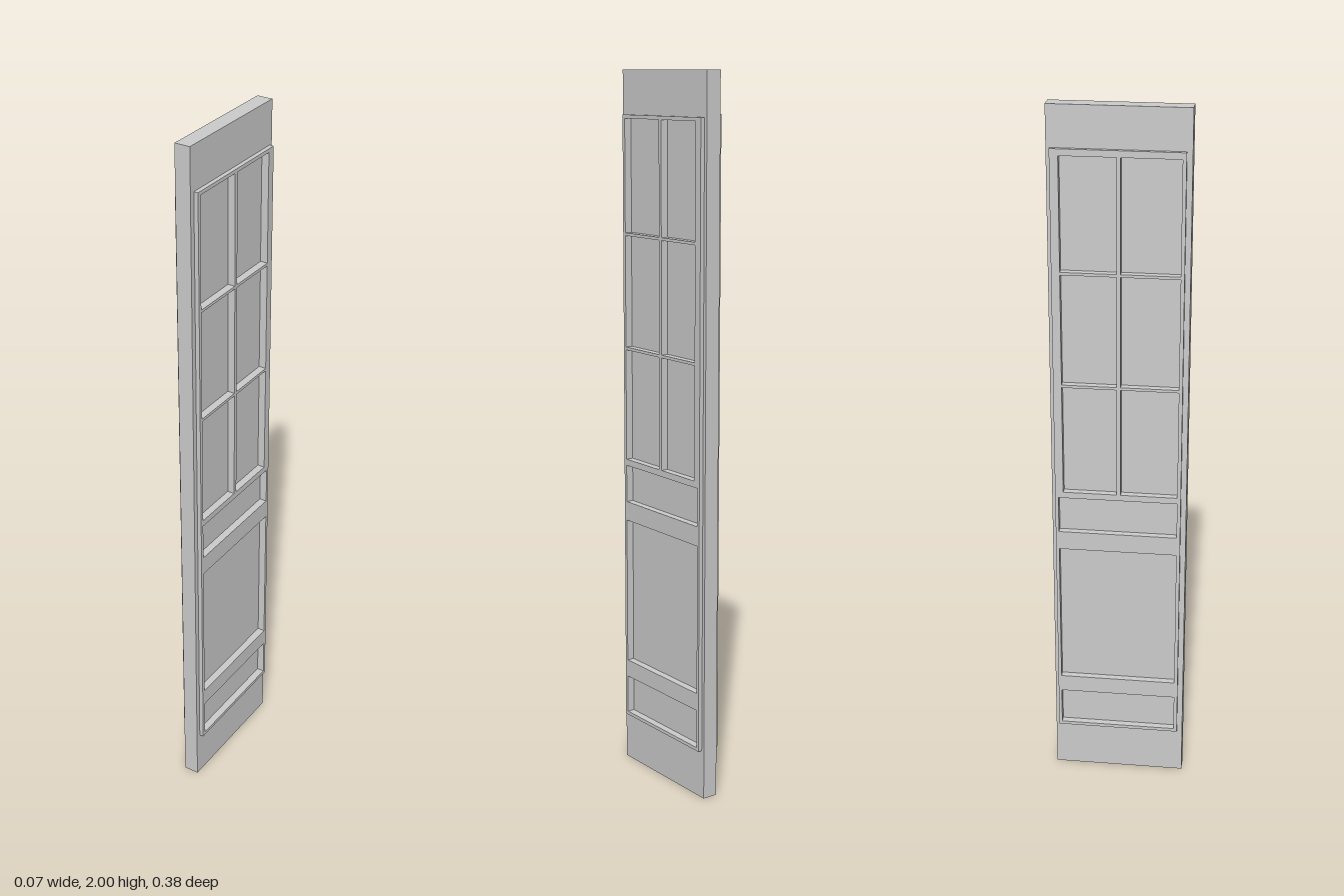
import * as THREE from 'three';

const material = new THREE.MeshStandardMaterial({ color: 0xcccccc, flatShading: true });

// Openings as [z0, z1, y0, y1]
const panes = [];
for (const [y0, y1] of [[0.915, 1.235 - 0.004], [1.239, 1.551], [1.559, 1.87]])
  for (const [z0, z1] of [[-0.157, -0.007], [0.004, 0.162]]) panes.push([z0, z1, y0, y1]);
const panels = [[0.15, 0.26], [0.31, 0.735], [0.79, 0.897]].map(([y0, y1]) => [-0.171, 0.162, y0, y1]);
const openings = [...panes, ...panels];

function trace(path, [z0, z1, y0, y1]) {
  path.moveTo(z0, y0);
  path.lineTo(z1, y0);
  path.lineTo(z1, y1);
  path.lineTo(z0, y1);
  path.closePath();
  return path;
}

// Plate in the z-y plane, between x0 and x1, pierced by the openings
function piercedPlate(name, outline, x0, x1) {
  const shape = trace(new THREE.Shape(), outline);
  shape.holes = openings.map((o) => trace(new THREE.Path(), o));
  const geometry = new THREE.ExtrudeGeometry(shape, { depth: x1 - x0, bevelEnabled: false });
  geometry.rotateY(-Math.PI / 2).translate(x1, 0, 0);
  const mesh = new THREE.Mesh(geometry, material);
  mesh.name = name;
  return mesh;
}

// Flat infill recessed inside one opening
function infill(name, [z0, z1, y0, y1]) {
  const mesh = new THREE.Mesh(new THREE.BoxGeometry(0.026, y1 - y0, z1 - z0), material);
  mesh.position.set(-0.001, (y0 + y1) / 2, (z0 + z1) / 2);
  mesh.name = name;
  return mesh;
}

export function createModel() {
  const door = new THREE.Group();
  door.name = 'door';

  // Main leaf with stiles and rails
  door.add(piercedPlate('doorLeaf', [-0.19, 0.187, 0, 2], -0.023, 0.021));

  // Raised lattice on both faces
  door.add(piercedPlate('latticeLeft', [-0.18, 0.172, 0.14, 1.88], 0.021, 0.033));
  door.add(piercedPlate('latticeRight', [-0.18, 0.172, 0.14, 1.888], -0.034, -0.023));

  // Window panes above, solid panels below
  panes.forEach((o, i) => door.add(infill(`windowPane${i + 1}`, o)));
  panels.forEach((o, i) => door.add(infill(`lowerPanel${i + 1}`, o)));
  return door;
}
